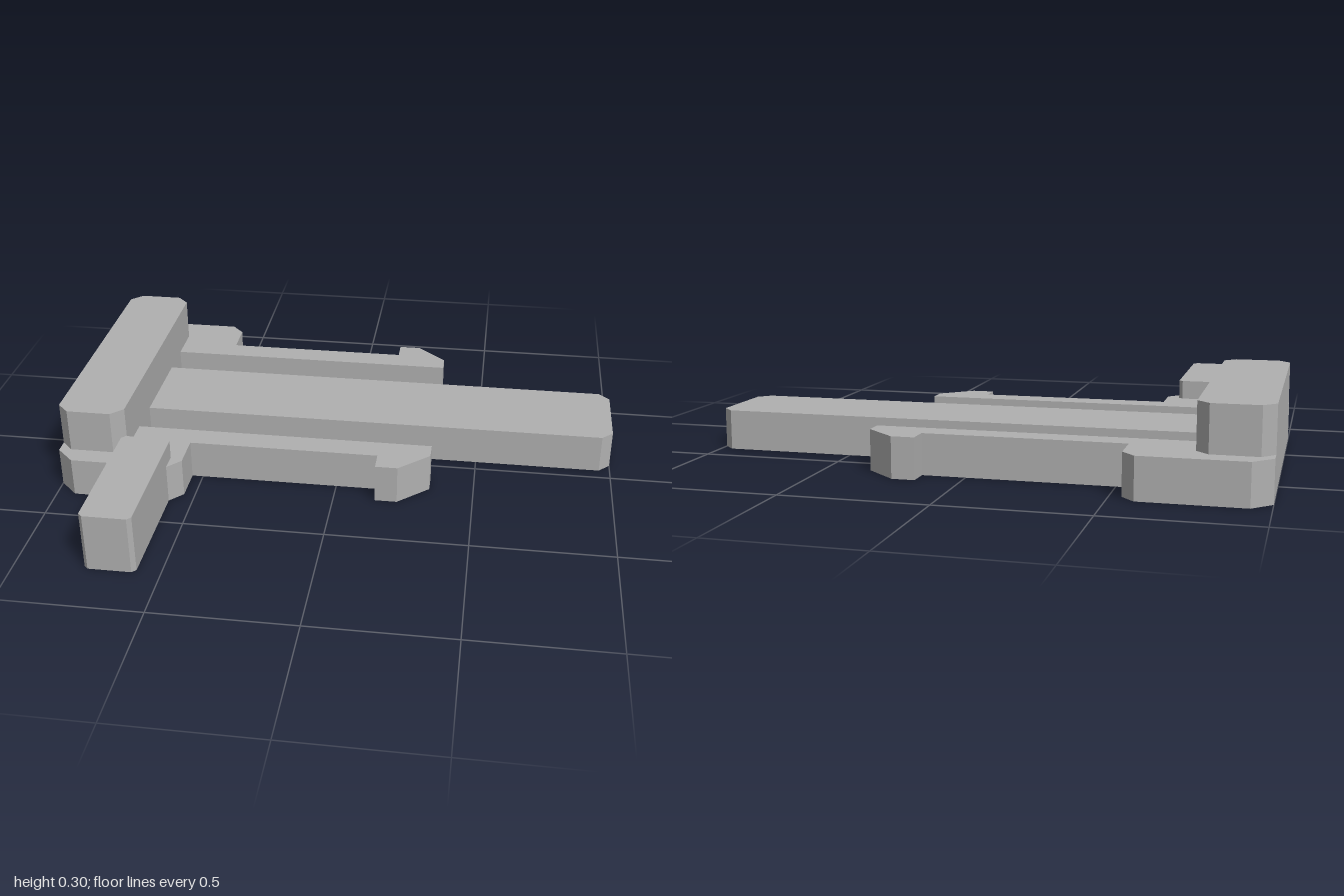
import * as THREE from 'three';

// Extrude an outline of [x, z] points upward from y0 to y1
function slab(name, outline, y0, y1, material) {
  const shape = new THREE.Shape(outline.map(([x, z]) => new THREE.Vector2(x, -z)));
  const geometry = new THREE.ExtrudeGeometry(shape, { depth: y1 - y0, bevelEnabled: false });
  geometry.rotateX(-Math.PI / 2);
  geometry.translate(0, y0, 0);
  const mesh = new THREE.Mesh(geometry, material);
  mesh.name = name;
  return mesh;
}

// Rectangle with cut corners: cx along x, cz along z
function chamferedRect(x0, x1, z0, z1, cx, cz) {
  return [
    [x0 + cx, z0], [x1 - cx, z0], [x1, z0 + cz], [x1, z1 - cz],
    [x1 - cx, z1], [x0 + cx, z1], [x0, z1 - cz], [x0, z0 + cz],
  ];
}

export function createModel() {
  const model = new THREE.Group();
  model.name = 'clipBuckle';
  const grey = new THREE.MeshStandardMaterial({ color: 0xb0b0b0 });
  grey.name = 'plain grey';

  // Half outline of the pronged base: head, hooked arm, centre tongue
  const midZ = -0.22;
  const half = [
    [-1, 0.52], [-0.935, 0.584], [-0.585, 0.584], [-0.54, 0.535],
    [-0.54, 0.407], [0.15, 0.407], [0.15, 0.483], [0.23, 0.483],
    [0.34, 0.383], [0.34, 0.314], [-0.758, 0.314], [-0.758, 0.171],
    [0.96, 0.171], [1, 0.132],
  ];
  const outline = [
    ...half.map(([x, h]) => [x, midZ + h]),
    ...half.slice().reverse().map(([x, h]) => [x, midZ - h]),
  ];
  model.add(slab('prongedBase', outline, 0, 0.142, grey));

  // Raised ridge along the back of the head
  model.add(slab('ridge', chamferedRect(-1, -0.758, -0.728, 0.29, 0.042, 0.043), 0.142, 0.3, grey));

  // Side tab projecting to the front
  model.add(slab('sideTab', chamferedRect(-0.763, -0.585, 0.283, 0.8, 0.014, 0.014), 0, 0.21, grey));

  return model;
}
